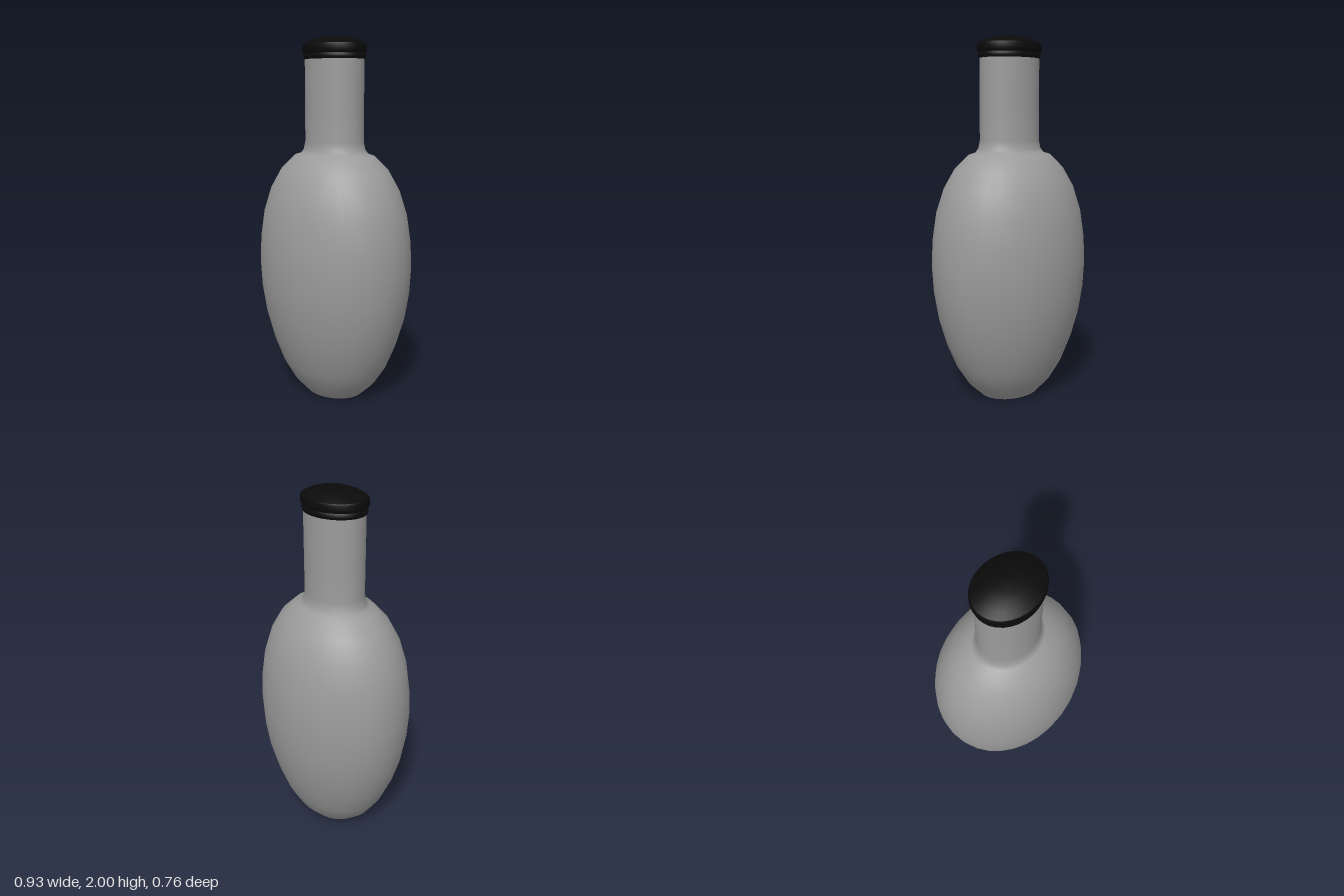
import * as THREE from 'three';

const SIDES = 32;
const DEPTH = 0.815; // oval cross-section: depth relative to width

// Oval turned part from [radius, height] pairs, listed bottom to top
function turned(name, profile, material) {
  const points = profile.map(([r, y]) => new THREE.Vector2(r, y));
  const geometry = new THREE.LatheGeometry(points, SIDES);
  geometry.scale(1, 1, DEPTH);
  const mesh = new THREE.Mesh(geometry, material);
  mesh.name = name;
  return mesh;
}

export function createModel() {
  const group = new THREE.Group();
  group.name = 'bottle';
  const glass = new THREE.MeshStandardMaterial({ color: 0x9b9b9b, side: THREE.DoubleSide });
  const black = new THREE.MeshStandardMaterial({ color: 0x0a0a0a, side: THREE.DoubleSide });

  // Flat foot the bottle stands on
  group.add(turned('base', [[0, 0], [0.178, 0]], glass));

  // Egg-shaped belly, shoulder and straight neck
  group.add(turned('body', [
    [0.178, 0], [0.259, 0.075], [0.329, 0.18], [0.389, 0.32], [0.433, 0.465],
    [0.458, 0.61], [0.467, 0.755], [0.46, 0.9], [0.436, 1.05], [0.391, 1.18],
    [0.327, 1.285], [0.245, 1.36], [0.205, 1.372], [0.187, 1.395], [0.177, 1.44],
    [0.177, 1.6], [0.177, 1.88],
  ], glass));

  // Cap: lower ring, groove, wider rim and domed top
  group.add(turned('capRing', [
    [0.17, 1.877], [0.182, 1.878], [0.185, 1.888], [0.185, 1.9], [0.178, 1.908],
  ], black));
  group.add(turned('capRim', [
    [0.178, 1.908], [0.187, 1.911], [0.192, 1.922], [0.192, 1.948], [0.186, 1.957],
  ], black));
  group.add(turned('capTop', [
    [0.186, 1.957], [0.145, 1.976], [0.1, 1.99], [0.055, 1.998], [0, 2],
  ], black));

  return group;
}
